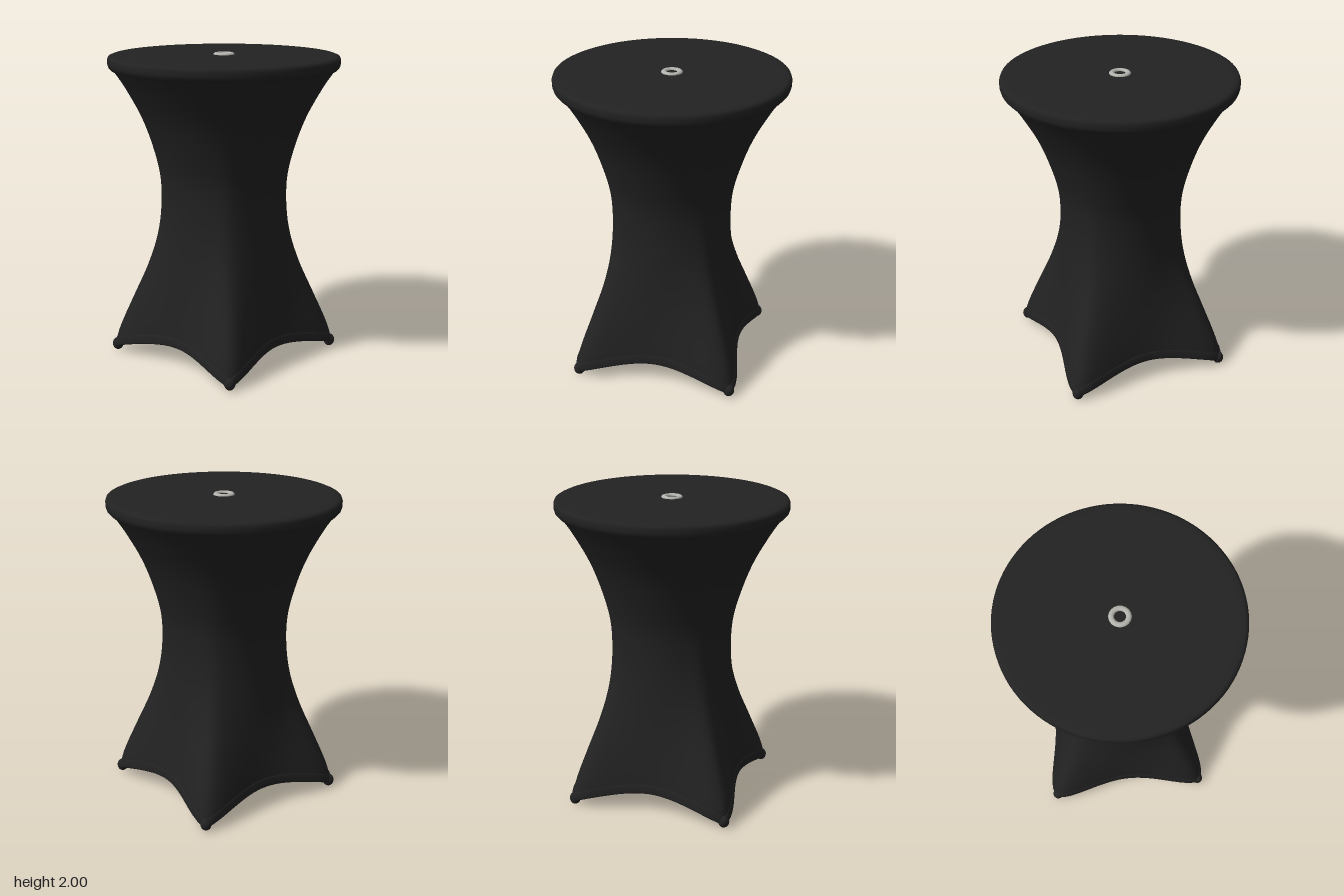
import * as THREE from 'three';

const SEG = 160;

// height, half-width at mid-side, half-width at the corner
const PROFILE = [
  [0.00, 0.485, 0.735], [0.10, 0.475, 0.72], [0.20, 0.465, 0.685], [0.40, 0.435, 0.595],
  [0.60, 0.408, 0.505], [0.80, 0.39, 0.44], [1.00, 0.383, 0.412], [1.20, 0.398, 0.416],
  [1.40, 0.452, 0.462], [1.60, 0.53, 0.535], [1.80, 0.642, 0.642], [1.90, 0.71, 0.71],
];

// smooth (Catmull-Rom) lookup of one profile column at height y
function profileAt(y, col) {
  const last = PROFILE.length - 1;
  let i = 0;
  while (i < last - 1 && PROFILE[i + 1][0] < y) i++;
  const row = (k) => PROFILE[Math.min(last, Math.max(0, k))];
  const slope = (k) => (row(k + 1)[col] - row(k - 1)[col]) / (row(k + 1)[0] - row(k - 1)[0]);
  const h = row(i + 1)[0] - row(i)[0];
  const t = (y - row(i)[0]) / h, t2 = t * t, t3 = t2 * t;
  return (2 * t3 - 3 * t2 + 1) * row(i)[col] + (t3 - 2 * t2 + t) * h * slope(i)
    + (3 * t2 - 2 * t3) * row(i + 1)[col] + (t3 - t2) * h * slope(i + 1);
}

// 0 at mid-side, 1 at the corner, with a softly rounded corner
function cornerWeight(angle) {
  const n = 9;
  const c = Math.abs(Math.cos(angle)), s = Math.abs(Math.sin(angle));
  const r = Math.pow(c ** n + s ** n, -1 / n);
  return (r - 1) / (Math.pow(2, 0.5 - 1 / n) - 1);
}

function radiusAt(angle, y) {
  const side = profileAt(y, 1), corner = profileAt(y, 2);
  return side + (corner - side) * cornerWeight(angle);
}

// the lower edge arches up between the four feet
function hemHeight(angle) {
  const c = Math.abs(Math.cos(angle)), s = Math.abs(Math.sin(angle));
  const across = Math.min(c, s) / Math.max(c, s);
  return 0.015 + 0.115 * (1 - across * across);
}

// closed loft; place(angle, row) returns [radius, height]
function loft(rows, place) {
  const positions = [], indices = [];
  for (let j = 0; j < rows; j++) {
    for (let i = 0; i < SEG; i++) {
      const angle = (i / SEG) * Math.PI * 2;
      const [r, y] = place(angle, j);
      positions.push(r * Math.cos(angle), y, r * Math.sin(angle));
      if (j === rows - 1) continue;
      const a = j * SEG + i, b = j * SEG + ((i + 1) % SEG);
      indices.push(a, a + SEG, b, b, a + SEG, b + SEG);
    }
  }
  const geometry = new THREE.BufferGeometry();
  geometry.setAttribute('position', new THREE.Float32BufferAttribute(positions, 3));
  geometry.setIndex(indices);
  geometry.computeVertexNormals();
  return geometry;
}

export function createModel() {
  const model = new THREE.Group();
  model.name = 'coveredBarTable';

  const fabric = new THREE.MeshStandardMaterial({ color: 0x222222, side: THREE.DoubleSide });
  fabric.name = 'blackFabric';
  const metal = new THREE.MeshStandardMaterial({ color: 0xb4b2ac });
  metal.name = 'paleMetal';

  const add = (name, geometry, material) => {
    const mesh = new THREE.Mesh(geometry, material);
    mesh.name = name;
    model.add(mesh);
    return mesh;
  };

  // stretched cover, round at the top and square at the feet
  const rows = 49;
  add('stretchCover', loft(rows, (angle, j) => {
    const low = hemHeight(angle) + 0.01;
    const y = low + (1.9 - low) * (j / (rows - 1));
    return [radiusAt(angle, y), y];
  }), fabric);

  // folded hem: [outward offset, height above the edge], from inside to outside
  const fold = [[-0.014, 0.06], [-0.014, 0.012], [-0.008, 0.002], [0, 0], [0.006, 0.008], [0.007, 0.052], [-0.001, 0.062]];
  add('hem', loft(fold.length, (angle, j) => {
    const y = hemHeight(angle) + fold[j][1];
    return [radiusAt(angle, y) + fold[j][0], y];
  }), fabric);

  // round table top with a soft rim
  const rim = [[0.70, 1.893], [0.722, 1.9], [0.736, 1.915], [0.742, 1.935], [0.742, 1.962],
    [0.736, 1.978], [0.72, 1.985], [0.69, 1.987], [0, 1.987]];
  add('tableTop', new THREE.LatheGeometry(rim.map(([x, y]) => new THREE.Vector2(x, y)), 96), fabric);

  // small pockets over the four feet
  for (const sx of [-1, 1]) {
    for (const sz of [-1, 1]) {
      const foot = add('footPocket', new THREE.SphereGeometry(0.036, 20, 14), fabric);
      foot.scale.y = 1.15;
      foot.position.set(sx * 0.508, 0.0414, sz * 0.508);
    }
  }

  // eyelet in the middle of the top
  const eyelet = add('eyelet', new THREE.TorusGeometry(0.051, 0.017, 12, 48), metal);
  eyelet.rotation.x = Math.PI / 2;
  eyelet.scale.z = 0.75;
  eyelet.position.y = 1.987;

  return model;
}
